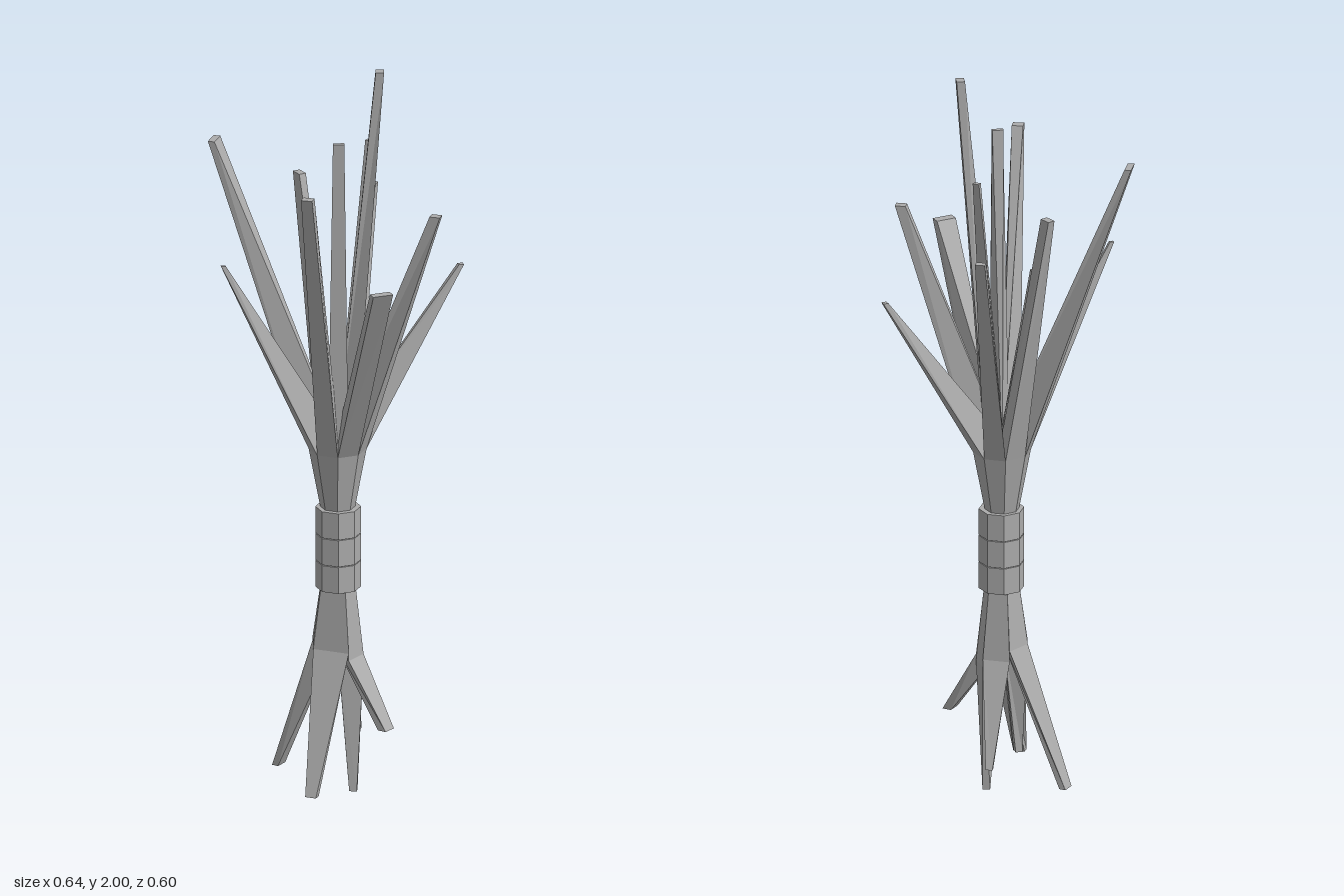
import * as THREE from 'three';

const AXIS_Z = 0.016; // the bundle's axis sits slightly in front of centre
const RAD = Math.PI / 180;

const polar = (deg, r, y) =>
  [Math.cos(deg * RAD) * r, y, AXIS_Z + Math.sin(deg * RAD) * r];

// Cross-section of a bundle wedge: inner pair on the axis, outer pair on the rim
function wedge(a0, a1, r, yOuter, yInner = yOuter) {
  const mid = (a0 + a1) / 2;
  return [polar(mid - 60, 0.002, yInner), polar(a0, r, yOuter),
    polar(a1, r, yOuter), polar(mid + 60, 0.002, yInner)];
}

// Cut end of a stick: w across, d along the outward direction
function cutEnd([x, y, z], w, d) {
  const a = Math.atan2(z - AXIS_Z, x), c = Math.cos(a), s = Math.sin(a);
  return [[-d, -w], [d, -w], [d, w], [-d, w]].map(([r, t]) =>
    [x + (c * r - s * t) / 2, y, z + (s * r + c * t) / 2]);
}

// Joins four-cornered sections into a faceted, closed stick
function loft(sections, up) {
  const pos = [];
  const tri = (a, b, c) => pos.push(...a, ...(up ? b : c), ...(up ? c : b));
  for (let i = 0; i + 1 < sections.length; i++) {
    const lo = sections[i], hi = sections[i + 1];
    for (let k = 0; k < 4; k++) {
      const n = (k + 1) % 4;
      tri(lo[k], hi[k], lo[n]);
      tri(lo[n], hi[k], hi[n]);
    }
  }
  const [a, b, c, d] = sections[sections.length - 1];
  tri(a, c, b);
  tri(a, d, c);
  const g = new THREE.BufferGeometry();
  g.setAttribute('position', new THREE.Float32BufferAttribute(pos, 3));
  g.computeVertexNormals();
  return g;
}

export function createModel() {
  const model = new THREE.Group();
  model.name = 'stickBundle';
  const grey = new THREE.MeshStandardMaterial({ color: 0xacacac });
  grey.name = 'grey';
  const add = (name, geometry) => {
    const mesh = new THREE.Mesh(geometry, grey);
    mesh.name = name;
    model.add(mesh);
    return mesh;
  };

  // Outer upper sticks, one per eighth of the bundle: tip, width, depth
  [
    [[0.298, 1.49, 0.153], 0.055, 0.025],
    [[0.152, 1.75, 0.28], 0.03, 0.024],
    [[-0.15, 1.49, 0.29], 0.008, 0.012],
    [[-0.303, 1.775, 0.17], 0.05, 0.018],
    [[-0.187, 1.66, -0.03], 0.02, 0.032],
    [[-0.132, 1.59, -0.245], 0.026, 0.02],
    [[0.152, 1.425, -0.288], 0.014, 0.014],
    [[0.237, 1.625, -0.11], 0.023, 0.028],
  ].forEach(([tip, w, d], i) => {
    const a0 = i * 45, a1 = a0 + 45;
    add('upperStick', loft([
      wedge(a0, a1, 0.045, 0.68), wedge(a0, a1, 0.046, 0.79),
      wedge(a0, a1, 0.076, 0.95, 0.99), cutEnd(tip, w, d),
    ], true));
  });

  // Inner upper sticks rising from the middle
  [
    [[0.078, 2.0, -0.062], 0.028, 0.022],
    [[0.055, 1.825, 0.068], 0.03, 0.012],
    [[-0.052, 1.45, 0.078], 0.024, 0.006],
    [[-0.036, 1.76, -0.138], 0.018, 0.012],
  ].forEach(([tip, w, d]) => {
    const a = Math.atan2(tip[2] - AXIS_Z, tip[0]) / RAD;
    add('innerStick', loft([
      wedge(a - 30, a + 30, 0.03, 0.75), wedge(a - 28, a + 28, 0.055, 1.02),
      cutEnd(tip, w, d),
    ], true));
  });

  // Lower sticks: sector start and end angle, tip, width, depth, knee height
  [
    [20, 115, [0.068, 0.04, 0.18], 0.03, 0.02, 0.4],
    [115, 150, [-0.025, 0.1, 0.052], 0.02, 0.018, 0.42],
    [150, 215, [-0.182, 0.035, 0.052], 0.035, 0.018, 0.41],
    [215, 280, [-0.07, 0.115, -0.128], 0.018, 0.012, 0.38],
    [280, 320, [0.032, 0, -0.01], 0.02, 0.02, 0.36],
    [320, 380, [0.152, 0.2, -0.01], 0.037, 0.025, 0.38],
  ].forEach(([a0, a1, tip, w, d, knee]) => {
    add('lowerStick', loft([
      wedge(a0, a1, 0.046, 0.68), wedge(a0, a1, 0.048, 0.56),
      wedge(a0, a1, 0.068, knee, knee + 0.01), cutEnd(tip, w, d),
    ], false));
  });

  // Three eight-sided binding bands around the waist
  for (let i = 0; i < 3; i++) {
    const g = new THREE.CylinderGeometry(0.06, 0.06, 0.073, 8).toNonIndexed();
    g.computeVertexNormals();
    add('bindingBand', g).position.set(0.002, 0.603 + i * 0.075, AXIS_Z);
  }
  return model;
}
